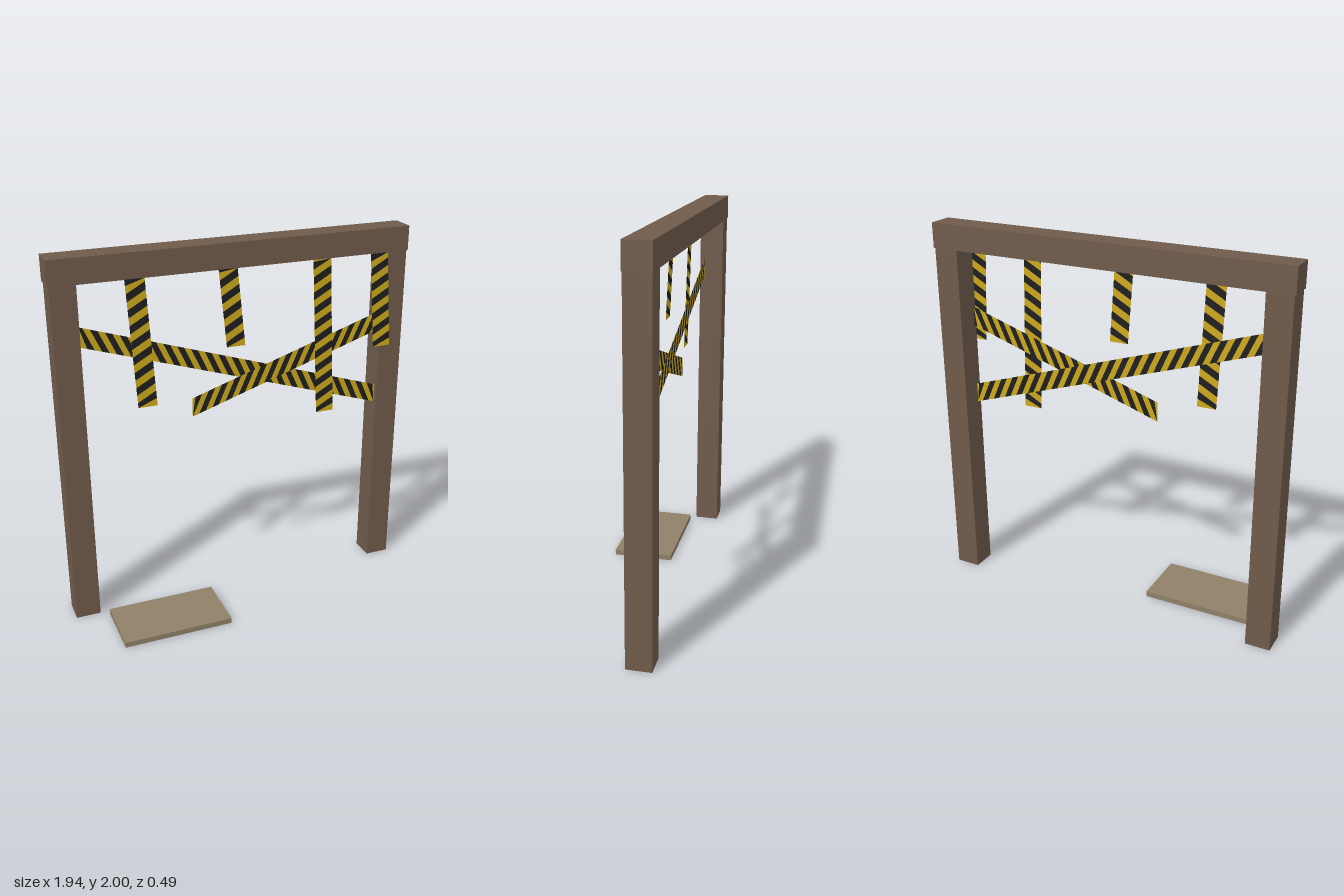
import * as THREE from 'three';

const mat = (name, color, side = THREE.FrontSide) => {
  const m = new THREE.MeshStandardMaterial({ color, side });
  m.name = name;
  return m;
};

// Flat striped tape. at(u, v) maps length u (0..length) and width v (0..1) to a point;
// slanted bands are clamped to the ends and alternate between two materials.
function stripedTape(name, length, at, materials, skew = 0.055, band = 0.041) {
  const positions = [[], []];
  const clamp = (u) => Math.min(length, Math.max(0, u));
  const first = -Math.ceil(Math.abs(skew) / band) - 1;
  for (let i = first; i * band < length + Math.abs(skew); i++) {
    const u0 = i * band, u1 = u0 + band;
    const a = at(clamp(u0), 0), b = at(clamp(u1), 0);
    const c = at(clamp(u1 + skew), 1), d = at(clamp(u0 + skew), 1);
    positions[Math.abs(i) % 2].push(...a, ...b, ...c, ...a, ...c, ...d);
  }
  const group = new THREE.Group();
  group.name = name;
  positions.forEach((list, i) => {
    const geometry = new THREE.BufferGeometry();
    geometry.setAttribute('position', new THREE.Float32BufferAttribute(list, 3));
    // All tapes face the front
    const normals = list.map((_, k) => (k % 3 === 2 ? 1 : 0));
    geometry.setAttribute('normal', new THREE.Float32BufferAttribute(normals, 3));
    const mesh = new THREE.Mesh(geometry, materials[i]);
    mesh.name = i ? 'blackBands' : 'yellowBands';
    group.add(mesh);
  });
  return group;
}

export function createModel() {
  const model = new THREE.Group();
  model.name = 'tapedDoorFrame';
  const wood = mat('brown wood', 0x6f5b4b);
  const board = mat('tan board', 0x8f8068);
  const tape = [
    mat('tape yellow', 0xcca91c, THREE.DoubleSide),
    mat('tape black', 0x1e1e1e, THREE.DoubleSide),
  ];

  const box = (name, material, x0, x1, y0, y1, z0, z1) => {
    const mesh = new THREE.Mesh(new THREE.BoxGeometry(x1 - x0, y1 - y0, z1 - z0), material);
    mesh.position.set((x0 + x1) / 2, (y0 + y1) / 2, (z0 + z1) / 2);
    mesh.name = name;
    model.add(mesh);
  };

  // Door frame
  box('rightPost', wood, -0.963, -0.83, 0, 1.87, -0.243, -0.112);
  box('leftPost', wood, 0.83, 0.963, 0, 1.87, -0.243, -0.112);
  box('lintel', wood, -0.97, 0.97, 1.868, 2, -0.246, -0.11);

  // Board lying on the floor
  box('floorBoard', board, -0.785, -0.19, 0, 0.03, -0.083, 0.246);

  // Crossing tapes with upright ends: start x, end x, lower edge at each end, depth, stripe lean
  const crossing = [
    ['fallingTape', -0.83, 0.83, 1.545, 1.0, -0.138, -0.055],
    ['risingTape', -0.26, 0.83, 1.087, 1.437, -0.126, 0.055],
  ];
  for (const [name, x0, x1, y0, y1, z, skew] of crossing) {
    const length = x1 - x0;
    const at = (u, v) => [x0 + u, y0 + (y1 - y0) * (u / length) + v * 0.104, z];
    model.add(stripedTape(name, length, at, tape, skew, 0.037));
  }

  // Hanging tapes, drifting sideways and slightly forward: top left x, bottom y
  const hanging = [[-0.597, 1.197], [-0.112, 1.46], [0.41, 1.012], [0.745, 1.35]];
  hanging.forEach(([x, bottom], i) => {
    const length = 1.87 - bottom;
    const at = (u, v) => {
      const drop = 1 - u / length;
      return [x + 0.036 * drop + (1 - v) * 0.102, bottom + u, -0.105 + 0.012 * drop];
    };
    model.add(stripedTape(`hangingTape${i + 1}`, length, at, tape, -0.055));
  });

  return model;
}
